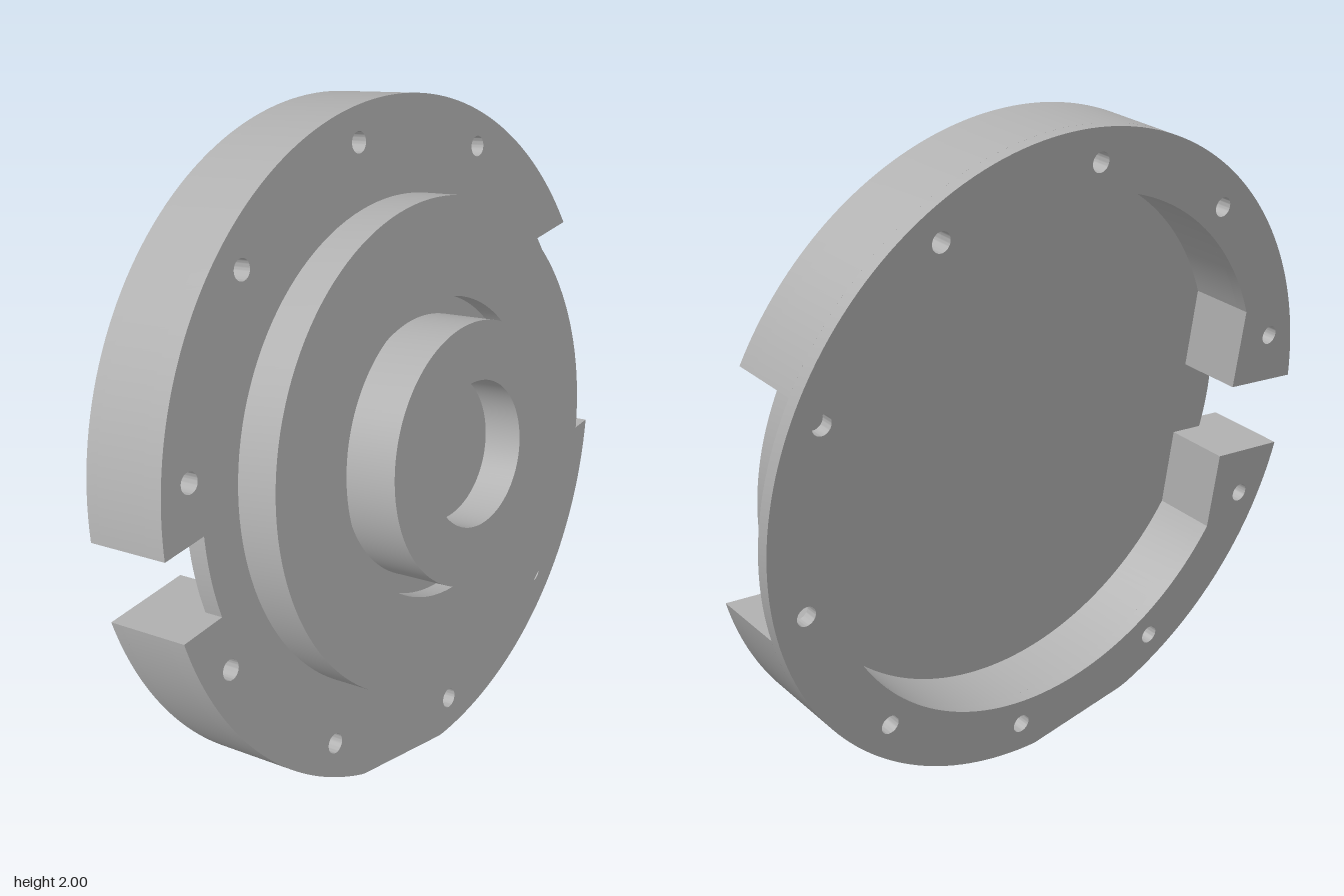
import * as THREE from 'three';
import { toCreasedNormals } from 'three/addons/utils/BufferGeometryUtils.js';

const R = 0.993, PLATE = 0.85, RECESS = 0.81, FLAT = 0.72; // radii and recess flat
const SLOT = 0.12, NOTCH = 0.35;                           // half widths of the cut-outs
const BACK = -0.135, LIP = -0.095, FLOOR = 0.075, FRONT = 0.135; // levels along the axis

const polar = (r, a) => new THREE.Vector2(r * Math.cos(a), r * Math.sin(a));

function arc(r, a0, a1, n = 72) {
  return Array.from({ length: n + 1 }, (_, i) => polar(r, a0 + (a1 - a0) * i / n));
}

// Outer rim with one shallow flat near the bottom
function rimArc(a0, a1) {
  const mid = THREE.MathUtils.degToRad(255), half = THREE.MathUtils.degToRad(11);
  return arc(R, a0, a1, 180).map((p) => {
    const d = Math.atan2(p.y, p.x) + 2 * Math.PI - mid;
    return Math.abs(d) < half ? p.setLength(R * Math.cos(half) / Math.cos(d)) : p;
  });
}

// Extrudes an outline between two levels, with the bolt holes that fall in it
function layer(points, z0, z1, holeIndices) {
  const shape = new THREE.Shape(points);
  for (const k of holeIndices) {
    const c = polar(0.895, THREE.MathUtils.degToRad(18 + 36 * k));
    shape.holes.push(new THREE.Path().absarc(c.x, c.y, 0.03, 0, Math.PI * 2, true));
  }
  const geo = new THREE.ExtrudeGeometry(shape, { depth: z1 - z0, bevelEnabled: false, curveSegments: 24 });
  geo.translate(0, 0, z0);
  return toCreasedNormals(geo, 0.4);
}

export function createModel() {
  const metal = new THREE.MeshStandardMaterial({ color: 0xb0b0b0 });
  metal.name = 'plain grey metal';
  const body = new THREE.Group();
  body.name = 'flangeCover';
  const add = (name, geo) => {
    const mesh = new THREE.Mesh(geo, metal);
    mesh.name = name;
    body.add(mesh);
  };

  const PI = Math.PI;
  const slotA = Math.asin(SLOT / R), notchA = Math.asin(NOTCH / R);
  const slotP = Math.asin(SLOT / PLATE), notchP = Math.asin(NOTCH / PLATE);
  const notchI = Math.asin(NOTCH / RECESS), flatA = PI - Math.acos(FLAT / RECESS);
  const slotTop = new THREE.Vector2(-FLAT, SLOT), slotBottom = new THREE.Vector2(-FLAT, -SLOT);

  // Front plate, trimmed back at the wide notch and the narrow slot
  add('frontPlate', layer([
    ...rimArc(notchA, PI - slotA), ...arc(PLATE, PI - slotP, PI + slotP, 12),
    ...rimArc(PI + slotA, 2 * PI - notchA), ...arc(PLATE, -notchP, notchP, 30),
  ], FLOOR, FRONT, [1, 2, 3, 4, 5, 6, 7, 8]));

  // Two rim walls between the cut-outs
  add('upperRim', layer([
    ...rimArc(notchA, PI - slotA), slotTop, ...arc(RECESS, flatA, notchI),
  ], LIP, FLOOR, [1, 2, 3, 4]));
  add('lowerRim', layer([
    ...rimArc(PI + slotA, 2 * PI - notchA),
    ...arc(RECESS, 2 * PI - notchI, 2 * PI - flatA), slotBottom,
  ], LIP, FLOOR, [5, 6, 7, 8]));

  // Thin back lip that bridges the wide notch
  add('backLip', layer([
    ...rimArc(slotA - PI, PI - slotA), slotTop, ...arc(RECESS, flatA, -flatA, 144), slotBottom,
  ], BACK, LIP, [0, 1, 2, 3, 4, 5, 6, 7, 8, 9]));

  // Raised step, groove, hub and blind bore
  const profile = [
    [0.717, FRONT], [0.717, 0.265], [0.435, 0.265], [0.435, 0.207], [0.38, 0.207],
    [0.38, 0.385], [0.211, 0.385], [0.211, 0.265], [0, 0.265],
  ].map(([r, h]) => new THREE.Vector2(r, h));
  const hub = new THREE.LatheGeometry(profile, 128);
  hub.rotateX(PI / 2);
  add('stepAndHub', toCreasedNormals(hub, 0.4));

  // Tilt the axis of the disc
  const n = new THREE.Vector3(0.853, 0.21, 0.477).normalize();
  const ex = new THREE.Vector3(0, 1, 0).cross(n).normalize();
  const ey = n.clone().cross(ex);
  body.quaternion.setFromRotationMatrix(new THREE.Matrix4().makeBasis(ex, ey, n));
  body.rotateZ(THREE.MathUtils.degToRad(-1.3));
  body.position.y = 1;

  const model = new THREE.Group();
  model.name = 'model';
  model.add(body);
  return model;
}
